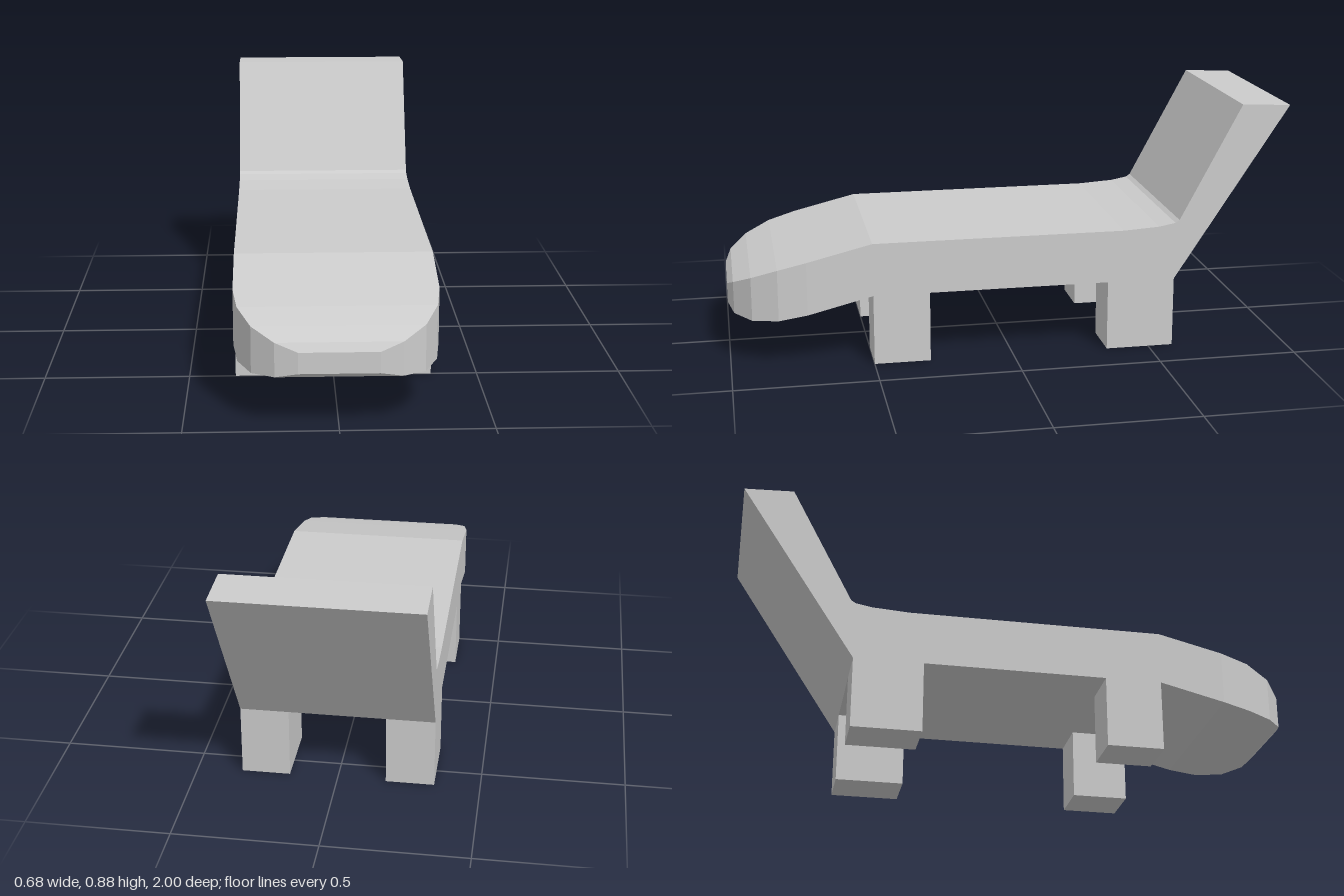
import * as THREE from 'three';

const material = new THREE.MeshStandardMaterial({ color: 0xcccccc, flatShading: true });

// Skin rectangular cross-sections, ordered front to back:
// [half width, top z, top y, bottom z, bottom y]
function loft(sections) {
  const rings = sections.map(([w, tz, ty, bz, by]) => [
    [-w, ty, tz], [w, ty, tz], [w, by, bz], [-w, by, bz],
  ]);
  const positions = [];
  const quad = (a, b, c, d) => positions.push(...a, ...b, ...c, ...a, ...c, ...d);
  for (let i = 0; i < rings.length - 1; i++) {
    const p = rings[i], q = rings[i + 1];
    for (let k = 0; k < 4; k++) {
      const n = (k + 1) % 4;
      quad(p[k], p[n], q[n], q[k]);
    }
  }
  const first = rings[0], last = rings[rings.length - 1];
  quad(first[0], first[3], first[2], first[1]);
  quad(...last);
  const geometry = new THREE.BufferGeometry();
  geometry.setAttribute('position', new THREE.Float32BufferAttribute(positions, 3));
  geometry.computeVertexNormals();
  return geometry;
}

export function createModel() {
  const group = new THREE.Group();
  group.name = 'lounger';

  const add = (name, geometry) => {
    const mesh = new THREE.Mesh(geometry, material);
    mesh.name = name;
    group.add(mesh);
    return mesh;
  };

  // Drooping rounded foot end, flat seat and the curve up to the backrest
  const hinge = [0.34, -0.605, 0.472, -0.59, 0.253];
  add('seat', loft([
    [0.13, 1.0, 0.263, 1.0, 0.192],
    [0.205, 0.98, 0.29, 0.98, 0.175],
    [0.28, 0.92, 0.325, 0.92, 0.168],
    [0.325, 0.83, 0.36, 0.83, 0.176],
    [0.34, 0.73, 0.387, 0.73, 0.196],
    [0.34, 0.5, 0.443, 0.5, 0.253],
    [0.34, -0.4, 0.443, -0.4, 0.253],
    [0.34, -0.53, 0.451, -0.53, 0.253],
    [0.34, -0.59, 0.462, -0.575, 0.253],
    hinge,
  ]));

  // Reclined backrest, continuing from the end of the seat
  add('backrest', loft([hinge, [0.34, -0.825, 0.885, -1.0, 0.877]]));

  // Four block legs, flush with the sides
  for (const [side, s] of [['left', 1], ['right', -1]]) {
    for (const [end, z0, z1] of [['Front', 0.3, 0.5], ['Back', -0.59, -0.345]]) {
      const leg = add(`${side}${end}Leg`, new THREE.BoxGeometry(0.17, 0.253, z1 - z0));
      leg.position.set(s * 0.255, 0.1265, (z0 + z1) / 2);
    }
  }
  return group;
}
